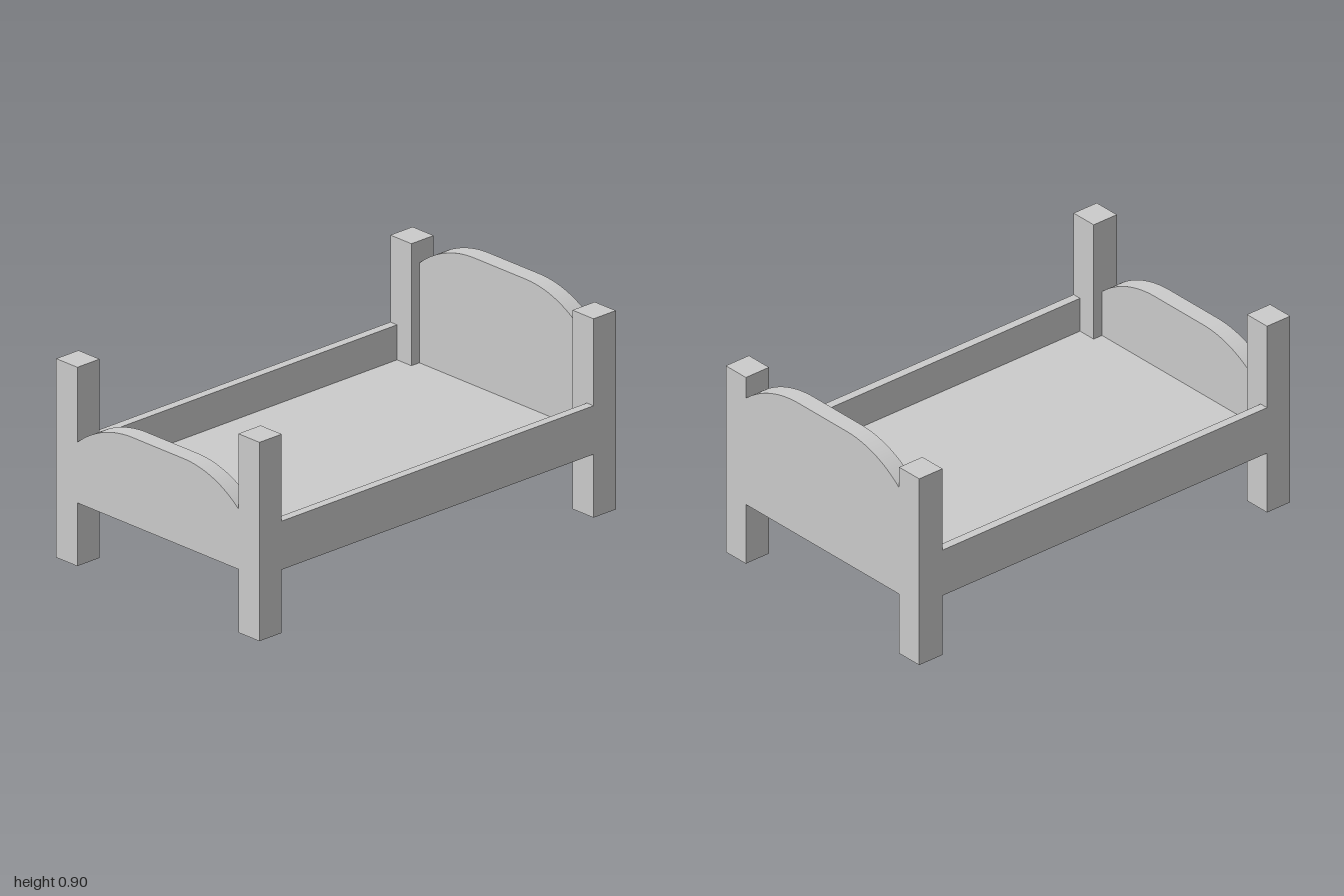
import * as THREE from 'three';

const HALF_X = 1, HALF_Z = 0.602; // outer half length and width
const POST = 0.125, POST_TOP = 0.88;
const BASE = 0.28; // underside of the frame
const BOARD = 0.08, RAIL = 0.04;

const material = new THREE.MeshStandardMaterial({ color: 0xcccccc });

function addMesh(parent, name, geometry) {
  const mesh = new THREE.Mesh(geometry, material);
  mesh.name = name;
  parent.add(mesh);
  return mesh;
}

function addBox(parent, name, w, h, d, x, y0, z) {
  addMesh(parent, name, new THREE.BoxGeometry(w, h, d)).position.set(x, y0 + h / 2, z);
}

// End panel: flat crest in the middle, a circular shoulder down to each post
function endBoardGeometry(crest) {
  const half = HALF_Z - POST, flat = 0.15, drop = 0.122;
  const run = half - flat;
  const r = (run * run + drop * drop) / (2 * drop);
  const sweep = Math.asin(run / r);
  const shape = new THREE.Shape();
  shape.moveTo(-half, BASE);
  shape.lineTo(half, BASE);
  shape.absarc(flat, crest - r, r, Math.PI / 2 - sweep, Math.PI / 2, false);
  shape.absarc(-flat, crest - r, r, Math.PI / 2, Math.PI / 2 + sweep, false);
  shape.closePath();
  const geometry = new THREE.ExtrudeGeometry(shape, { depth: BOARD, bevelEnabled: false, curveSegments: 14 });
  return geometry.translate(0, 0, -BOARD / 2).rotateY(Math.PI / 2);
}

export function createModel() {
  const bed = new THREE.Group();
  bed.name = 'bed';

  // Corner posts
  for (const sx of [-1, 1]) {
    for (const sz of [-1, 1]) {
      addBox(bed, 'cornerPost', POST, POST_TOP, POST,
        sx * (HALF_X - POST / 2), 0, sz * (HALF_Z - POST / 2));
    }
  }

  // Side rails
  for (const sz of [-1, 1]) {
    addBox(bed, 'sideRail', 2 * (HALF_X - POST), 0.215, RAIL, 0, BASE, sz * (HALF_Z - RAIL / 2));
  }

  // Tall headboard and lower footboard
  addMesh(bed, 'headboard', endBoardGeometry(0.904)).position.x = HALF_X - BOARD / 2;
  addMesh(bed, 'footboard', endBoardGeometry(0.67)).position.x = -(HALF_X - BOARD / 2);

  // Sleeping platform between rails and boards
  addBox(bed, 'platform', 2 * (HALF_X - BOARD), 0.06, 2 * (HALF_Z - RAIL), 0, BASE, 0);

  return bed;
}
